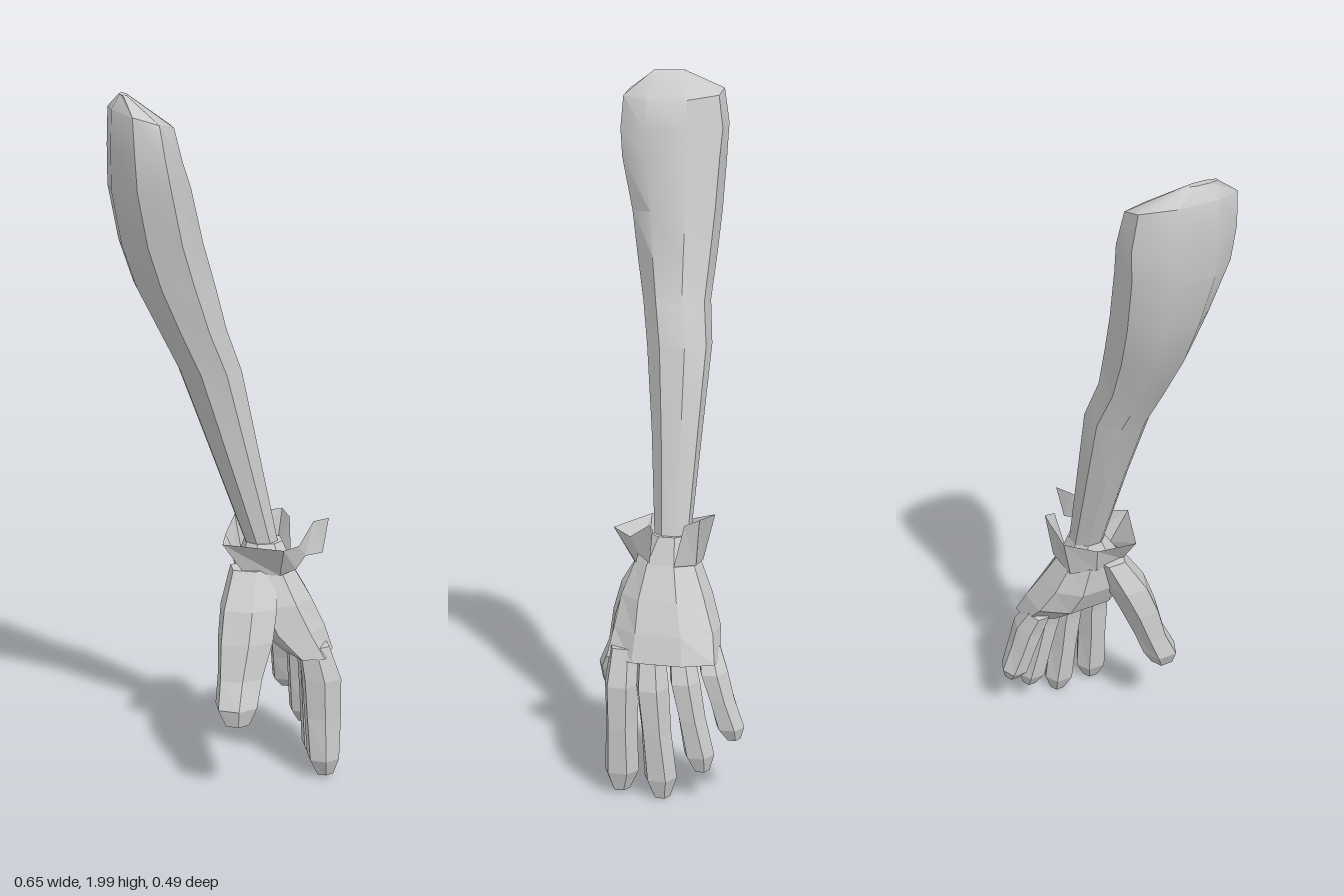
import * as THREE from 'three';
import { toCreasedNormals } from 'three/addons/utils/BufferGeometryUtils.js';

const flat = new THREE.MeshStandardMaterial({ color: 0xcccccc, flatShading: true });
const smooth = new THREE.MeshStandardMaterial({ color: 0xcccccc });
const sheet = new THREE.MeshStandardMaterial({ color: 0xcccccc, flatShading: true, side: THREE.DoubleSide });

function meshFrom(name, positions, material) {
  let geo = new THREE.BufferGeometry();
  geo.setAttribute('position', new THREE.Float32BufferAttribute(positions, 3));
  if (material === smooth) geo = toCreasedNormals(geo, 0.75);
  else geo.computeVertexNormals();
  const mesh = new THREE.Mesh(geo, material);
  mesh.name = name;
  return mesh;
}

// One cross-section: [y, xMin, xMax, zMin, zMax, slope of y along x]
function ring([y, x0, x1, z0, z1, slope = 0], sides, square) {
  const pts = [];
  for (let i = 0; i < sides; i++) {
    const a = ((i + 0.5) / sides) * Math.PI * 2;
    const bulge = (v) => Math.sign(v) * Math.min(1, Math.abs(v) * square);
    const dx = (bulge(Math.cos(a)) * (x1 - x0)) / 2;
    const dz = (bulge(Math.sin(a)) * (z1 - z0)) / 2;
    pts.push([(x0 + x1) / 2 + dx, y + slope * dx, (z0 + z1) / 2 + dz]);
  }
  return pts;
}

// Skin sections listed from top to bottom and close both ends
function loft(name, sections, sides, material, square) {
  const rings = sections.map((s) => ring(s, sides, square));
  const out = [];
  const tri = (...p) => p.forEach((v) => out.push(...v));
  const middle = (r) => [0, 1, 2].map((k) => r.reduce((sum, p) => sum + p[k], 0) / r.length);
  const last = rings[rings.length - 1];
  const top = middle(rings[0]);
  const bottom = middle(last);
  for (let j = 0; j < sides; j++) {
    const k = (j + 1) % sides;
    for (let i = 0; i < rings.length - 1; i++) {
      const [a, b] = [rings[i], rings[i + 1]];
      tri(a[j], a[k], b[j]);
      tri(a[k], b[k], b[j]);
    }
    tri(top, rings[0][k], rings[0][j]);
    tri(bottom, last[j], last[k]);
  }
  return meshFrom(name, out, material);
}

// A finger follows [x, y, z, half width in x, half width in z]
function finger(name, path) {
  const sections = path.map(([x, y, z, rx, rz]) => [y, x - rx, x + rx, z - rz, z + rz]);
  return loft(name, sections, 6, flat, 1.1);
}

export function createModel() {
  const model = new THREE.Group();
  model.name = 'armWithGlove';

  // Forearm with a rounded, sloping upper end and a narrow wrist
  model.add(loft('arm', [
    [1.997, -0.3, -0.28, 0.07, 0.16],
    [1.935, -0.325, -0.16, -0.055, 0.23, -0.3],
    [1.84, -0.328, -0.138, -0.07, 0.235, -0.2],
    [1.75, -0.328, -0.115, -0.065, 0.225],
    [1.6, -0.3, -0.08, -0.06, 0.185],
    [1.48, -0.26, -0.045, -0.055, 0.16],
    [1.35, -0.195, -0.01, -0.05, 0.13],
    [1.23, -0.135, 0.035, -0.068, 0.105],
    [1.0, -0.05, 0.085, -0.06, 0.075],
    [0.7, 0.06, 0.15, -0.05, 0.045],
  ], 8, smooth, 1.1));

  // Palm, thick enough on its inner side to meet the thumb
  model.add(loft('palm', [
    [0.715, 0.055, 0.16, -0.05, 0.05],
    [0.64, 0.03, 0.19, -0.075, 0.095],
    [0.55, 0.035, 0.24, -0.115, 0.125],
    [0.465, 0.075, 0.28, -0.15, 0.135],
    [0.39, 0.16, 0.305, -0.165, 0.145],
  ], 8, flat, 1.2));

  // Thumb
  model.add(finger('thumb', [
    [0.07, 0.65, 0.05, 0.065, 0.05],
    [0.05, 0.55, 0.1, 0.08, 0.065],
    [0.035, 0.46, 0.135, 0.078, 0.06],
    [0.015, 0.36, 0.165, 0.063, 0.05],
    [0.0, 0.285, 0.195, 0.058, 0.055],
    [0.0, 0.235, 0.205, 0.035, 0.035],
  ]));

  // Four fingers, bowed outward at the knuckles
  const fingers = [
    ['indexFinger', 0.1, 0.1, 0.015, 0.275, 0.05],
    ['middleFinger', 0.02, -0.02, 0.005, 0.28, 0.047],
    ['ringFinger', -0.06, -0.13, 0.085, 0.26, 0.043],
    ['littleFinger', -0.13, -0.21, 0.17, 0.22, 0.04],
  ];
  for (const [name, zBase, zTip, yTip, x, r] of fingers) {
    const yBase = 0.42;
    const at = (t, dx, rx, rz) =>
      [x + dx, yBase + (yTip - yBase) * t, zBase + (zTip - zBase) * t, rx, rz];
    model.add(finger(name, [
      at(0, -0.035, 0.045, r * 0.8),
      at(0.25, -0.01, 0.056, r),
      at(0.55, -0.005, 0.052, r * 0.9),
      at(0.87, -0.002, 0.045, r),
      at(1, 0.003, 0.025, r * 0.5),
    ]));
  }

  // Flared cuff, open at the outer side with one loose flap: [top, bottom]
  const cuff = [
    [[0.3, 0.77, 0.0], [0.28, 0.67, 0.015]],
    [[0.25, 0.77, 0.025], [0.22, 0.68, 0.065]],
    [[0.195, 0.72, 0.095], [0.19, 0.645, 0.08]],
    [[0.14, 0.73, 0.16], [0.14, 0.635, 0.1]],
    [[-0.025, 0.735, 0.095], [0.04, 0.64, 0.085]],
    [[0.0, 0.73, -0.02], [0.025, 0.64, -0.01]],
    [[0.04, 0.76, -0.11], [0.06, 0.63, -0.08]],
    [[0.18, 0.775, -0.1], [0.16, 0.64, -0.085]],
    [[0.195, 0.76, -0.06], [0.195, 0.64, -0.03]],
  ];
  const out = [];
  for (let i = 0; i < cuff.length - 1; i++) {
    const [[a, b], [c, d]] = [cuff[i], cuff[i + 1]];
    [a, c, b, c, d, b].forEach((p) => out.push(...p));
  }
  model.add(meshFrom('cuff', out, sheet));

  return model;
}
